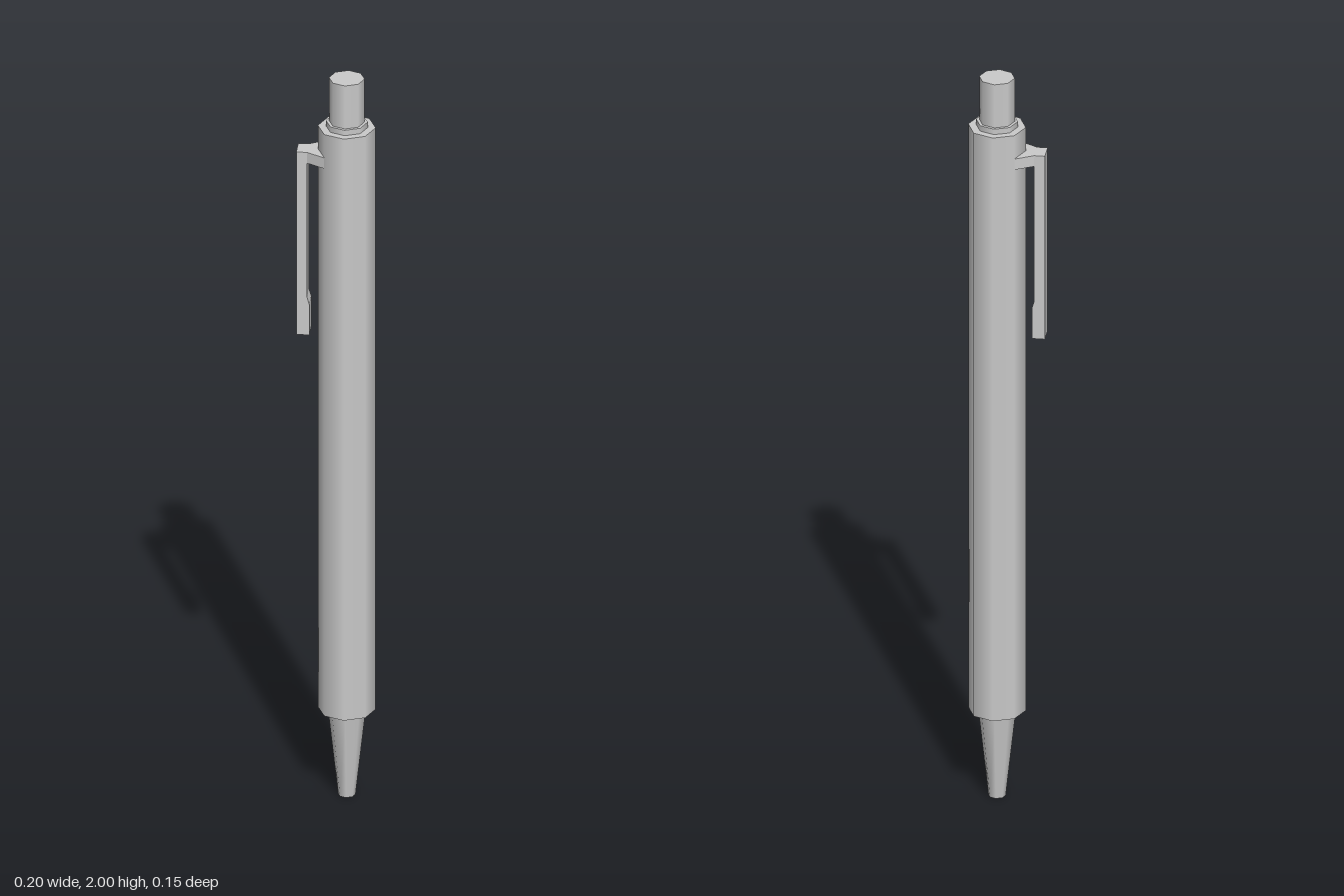
import * as THREE from 'three';

const AXIS_X = 0.025; // the barrel sits off-centre because of the clip
const SIDES = 8;

export function createModel() {
  const model = new THREE.Group();
  model.name = 'pen';
  const grey = new THREE.MeshStandardMaterial({ color: 0xcccccc });

  const add = (name, geometry) => {
    const mesh = new THREE.Mesh(geometry, grey);
    mesh.name = name;
    model.add(mesh);
    return mesh;
  };

  // Round part of the pen between two heights
  const section = (name, bottomY, topY, bottomR, topR = bottomR) => {
    const h = topY - bottomY;
    add(name, new THREE.CylinderGeometry(topR, bottomR, h, SIDES))
      .position.set(AXIS_X, bottomY + h / 2, 0);
  };

  section('tip', 0, 0.24, 0.022, 0.048);
  section('barrel', 0.24, 1.865, 0.073);
  section('collar', 1.865, 1.88, 0.053);
  section('pushButton', 1.88, 2, 0.045);

  const extrude = (points, depth) => new THREE.ExtrudeGeometry(
    new THREE.Shape(points.map(([x, y]) => new THREE.Vector2(x, y))),
    { depth, bevelEnabled: false });

  // Clip strip, thickened at its lower end to grip
  const strip = extrude([
    [-0.1, 1.29], [-0.067, 1.29], [-0.067, 1.375],
    [-0.073, 1.395], [-0.073, 1.8], [-0.1, 1.8],
  ], 0.05);
  strip.translate(0, 0, -0.025);
  add('clipStrip', strip);

  // Bracket flaring from the strip to the barrel
  const bracket = extrude([
    [-0.073, -0.025], [-0.027, -0.052], [-0.027, 0.052], [-0.073, 0.025],
  ], 0.03);
  bracket.rotateX(-Math.PI / 2).translate(0, 1.77, 0);
  add('clipBracket', bracket);

  return model;
}
